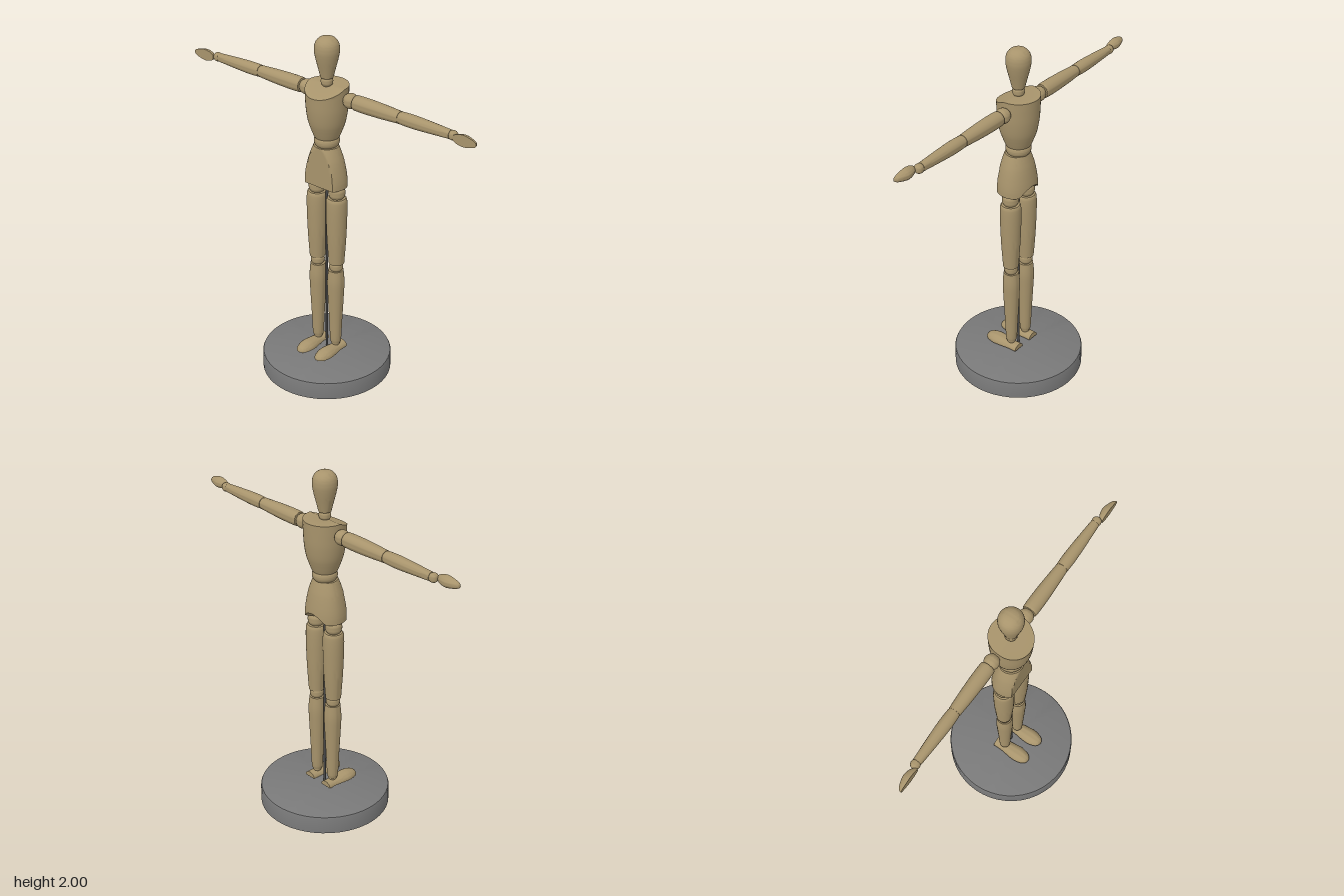
import * as THREE from 'three';
import { toCreasedNormals } from 'three/addons/utils/BufferGeometryUtils.js';

const wood = new THREE.MeshStandardMaterial({ color: 0xa8946c });
const stone = new THREE.MeshStandardMaterial({ color: 0x787878 });
const metal = new THREE.MeshStandardMaterial({ color: 0x444444 });

// Closed turned solid: a smooth curve through [radius, height] pairs with flat ends
function turned(profile, segments = 32) {
  const curve = new THREE.SplineCurve(profile.map(([r, h]) => new THREE.Vector2(r, h)));
  const pts = curve.getPoints(profile.length * 5);
  pts.forEach(p => { p.x = Math.max(p.x, 0); });
  pts.unshift(new THREE.Vector2(0, profile[0][1]));
  pts.push(new THREE.Vector2(0, profile[profile.length - 1][1]));
  return new THREE.LatheGeometry(pts, segments);
}

// Moves every vertex of a geometry by a rule
function reshape(geo, rule) {
  const pos = geo.attributes.position;
  const v = new THREE.Vector3();
  for (let i = 0; i < pos.count; i++) {
    rule(v.fromBufferAttribute(pos, i));
    pos.setXYZ(i, v.x, v.y, v.z);
  }
  return geo;
}

export function createModel() {
  const model = new THREE.Group();
  model.name = 'artistMannequin';

  function add(name, geo, x = 0, y = 0, z = 0, material = wood) {
    geo.deleteAttribute('uv');
    geo.deleteAttribute('normal');
    const mesh = new THREE.Mesh(toCreasedNormals(geo, 0.6), material);
    mesh.name = name;
    mesh.position.set(x, y, z);
    model.add(mesh);
    return mesh;
  }
  const ball = (name, r, x, y, z = 0) => add(name, new THREE.SphereGeometry(r, 24, 16), x, y, z);

  // Stand: round base with a softened rim, and a thin support rod
  const rim = [[0, 0], [0.365, 0], [0.365, 0.092], [0.361, 0.101], [0.352, 0.105], [0, 0.105]];
  add('base', new THREE.LatheGeometry(rim.map(p => new THREE.Vector2(...p)), 48), 0, 0, 0, stone);
  add('supportRod', new THREE.CylinderGeometry(0.007, 0.007, 1.1, 12), 0, 0.65, 0, metal);

  // Head and neck
  add('head', turned([[0.034, 1.775], [0.045, 1.82], [0.06, 1.88], [0.067, 1.925],
    [0.062, 1.963], [0.043, 1.988], [0.02, 1.998], [0, 2]]));
  ball('neck', 0.033, 0, 1.753);

  // Chest, its top sloping down towards the front
  add('chest', reshape(
    turned([[0.068, 1.44], [0.082, 1.475], [0.1, 1.53], [0.111, 1.6], [0.115, 1.67], [0.117, 1.735]], 40),
    v => { v.y = Math.min(v.y, 1.735 - 0.4 * Math.max(v.z, 0)); }));

  // Waist
  add('waist', turned([[0.056, 1.385], [0.066, 1.4], [0.069, 1.417], [0.066, 1.432], [0.055, 1.45]]));

  // Pelvis with a flat front, a shallower back and a chamfered lower rear edge
  add('pelvis', reshape(
    turned([[0.121, 1.16], [0.12, 1.2], [0.113, 1.25], [0.1, 1.31], [0.085, 1.355], [0.071, 1.39]], 48),
    v => {
      v.z = v.z > 0 ? Math.min(v.z, 0.07) : v.z * 0.78;
      v.y = Math.max(v.y, 1.16 + 2 * (-v.z - 0.07));
    }));

  for (const side of [1, -1]) {
    const tag = side > 0 ? 'left' : 'right';

    // Leg
    const legX = side * 0.066;
    ball(tag + 'HipJoint', 0.047, side * 0.069, 1.125);
    const thigh = turned([[0.05, 0], [0.057, 0.02], [0.058, 0.1], [0.053, 0.25], [0.043, 0.405]].map(
      ([r, h]) => [r, 0.405 - h]).reverse());
    add(tag + 'Thigh', thigh, side * 0.068, 0.69);
    ball(tag + 'Knee', 0.039, legX, 0.668);
    add(tag + 'Shin', turned([[0.024, 0.168], [0.031, 0.19], [0.037, 0.32], [0.045, 0.48],
      [0.048, 0.57], [0.042, 0.645]]), side * 0.064, 0);
    ball(tag + 'Ankle', 0.025, side * 0.064, 0.17);

    // Foot: flat sole, square heel, rounded toe
    const foot = turned([[0.036, -0.055], [0.036, 0], [0.044, 0.06], [0.046, 0.1],
      [0.036, 0.142], [0.02, 0.163], [0, 0.17]]).rotateX(Math.PI / 2);
    add(tag + 'Foot', reshape(foot, v => { v.y = Math.max(0, v.y) * 0.85; }), legX, 0.127);

    // Arm, stretched out sideways
    const armY = 1.676, armZ = -0.014;
    const along = profile => turned(profile).rotateZ(-side * Math.PI / 2);
    ball(tag + 'Shoulder', 0.042, side * 0.148, armY, armZ);
    add(tag + 'UpperArm', along([[0.037, 0.18], [0.041, 0.19], [0.042, 0.26], [0.039, 0.36], [0.033, 0.467]]),
      0, armY, armZ);
    ball(tag + 'Elbow', 0.031, side * 0.471, armY, armZ);
    add(tag + 'Forearm', along([[0.033, 0.475], [0.035, 0.54], [0.032, 0.63], [0.024, 0.778]]), 0, armY, armZ);
    ball(tag + 'Wrist', 0.026, side * 0.792, armY, armZ);

    // Hand: leaf shape with a flat palm facing forwards
    const hand = along([[0.014, 0.808], [0.026, 0.832], [0.032, 0.868], [0.027, 0.9],
      [0.018, 0.93], [0.009, 0.943], [0, 0.946]]);
    add(tag + 'Hand', reshape(hand, v => { v.z = Math.min(0, v.z) * 1.3; }), 0, armY, 0.012);
  }
  return model;
}
